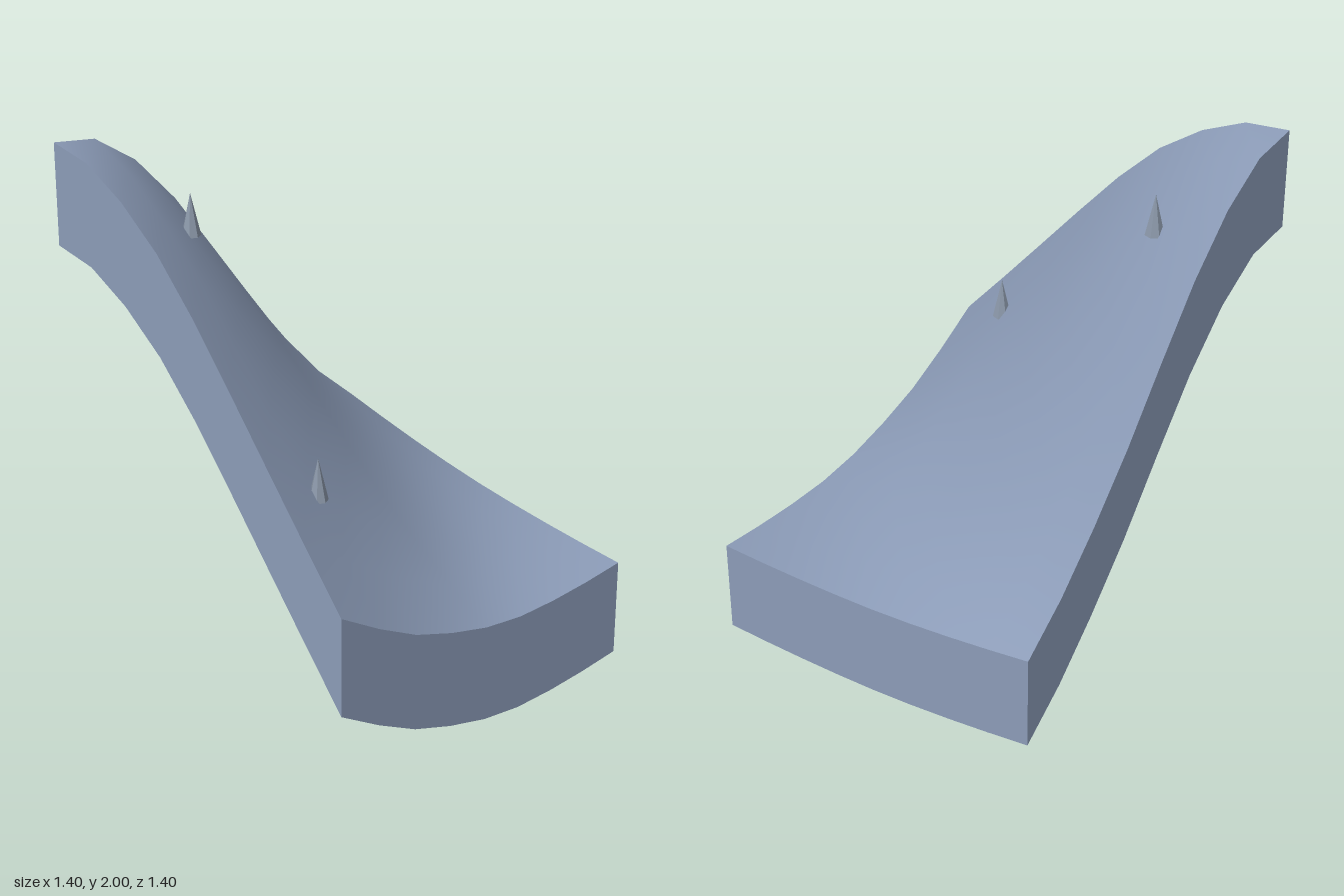
import * as THREE from 'three';

const HALF = 0.7, N = 8, SKIRT = 0.375;

// Edge heights, evenly spaced from -x to +x or from -z to +z
const back = [2.0, 1.97, 1.85, 1.66, 1.42, 1.17, 0.95, 0.755, 0.6];
const front = [0.73, 0.62, 0.525, 0.46, 0.41, 0.383, 0.378, 0.383, 0.395];
const left = [2.0, 1.97, 1.88, 1.748, 1.567, 1.36, 1.148, 0.937, 0.73];
const right = [0.6, 0.56, 0.523, 0.49, 0.462, 0.44, 0.422, 0.407, 0.395];

function sample(list, t) {
  const i = Math.min(N - 1, Math.floor(t * N));
  return THREE.MathUtils.lerp(list[i], list[i + 1], t * N - i);
}

// Height blended between the four edges, with a gentle hollow in the middle
function height(x, z) {
  const u = THREE.MathUtils.clamp((x + HALF) / (2 * HALF), 0, 1);
  const v = THREE.MathUtils.clamp((z + HALF) / (2 * HALF), 0, 1);
  const mix = THREE.MathUtils.lerp;
  const across = mix(sample(left, v), sample(right, v), u);
  const along = mix(sample(back, u), sample(front, u), v);
  const corners = mix(mix(back[0], back[N], u), mix(front[0], front[N], u), v);
  return across + along - corners - 0.12 * Math.sin(Math.PI * u) * Math.sin(Math.PI * v);
}

export function createModel() {
  const model = new THREE.Group();
  model.name = 'terrainTile';
  const slate = new THREE.MeshStandardMaterial({ color: 0x8c9cb8, side: THREE.DoubleSide });
  slate.name = 'slateBlue';

  // Sloping ground
  const ground = new THREE.PlaneGeometry(2 * HALF, 2 * HALF, N, N).rotateX(-Math.PI / 2);
  const p = ground.attributes.position;
  for (let i = 0; i < p.count; i++) p.setY(i, height(p.getX(i), p.getZ(i)));
  ground.computeVertexNormals();
  const groundMesh = new THREE.Mesh(ground, slate);
  groundMesh.name = 'ground';
  model.add(groundMesh);

  // Skirts hanging from the four edges
  ['frontSkirt', 'leftSkirt', 'backSkirt', 'rightSkirt'].forEach((name, k) => {
    const skirt = new THREE.PlaneGeometry(2 * HALF, 1, N, 1);
    skirt.translate(0, 0, HALF).rotateY(k * Math.PI / 2);
    const q = skirt.attributes.position;
    for (let i = 0; i < q.count; i++) {
      q.setY(i, height(q.getX(i), q.getZ(i)) - (q.getY(i) < 0 ? SKIRT : 0));
    }
    skirt.computeVertexNormals();
    const mesh = new THREE.Mesh(skirt, slate);
    mesh.name = name;
    model.add(mesh);
  });

  // Small pointed trees
  const rock = new THREE.MeshStandardMaterial({ color: 0x8a97a8, flatShading: true });
  rock.name = 'greyBlue';
  [[-0.35, 1.65, -0.41], [-0.47, 0.95, 0.35]].forEach(([x, y, z]) => {
    const tree = new THREE.Mesh(new THREE.ConeGeometry(0.035, 0.155, 7), rock);
    tree.position.set(x, y + 0.0775, z);
    tree.name = 'tree';
    model.add(tree);
  });
  return model;
}
